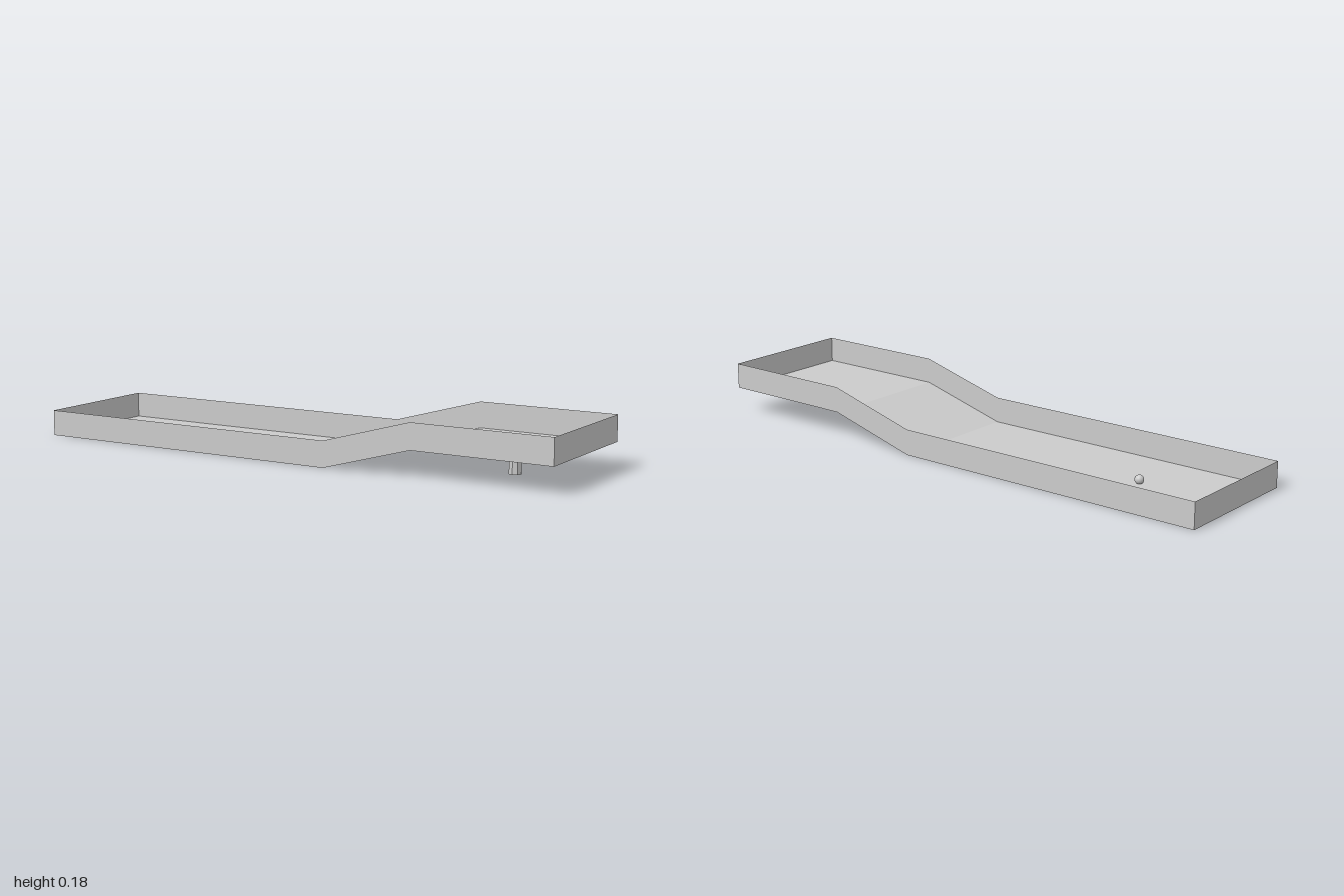
import * as THREE from 'three';

const HALF_WIDTH = 0.25, WALL = 0.092;
// Lane bottom profile (x, y), running from the low end to the raised end
const PROFILE = [[-1, 0], [0.165, 0], [0.495, 0.092], [1, 0.092]];

// Thin sheet joining two matching rows of points, with a flat quad per step
function sheet(name, rowA, rowB, material) {
  const positions = [];
  for (let i = 0; i + 1 < rowA.length; i++) {
    const [a, b, c, d] = [rowA[i], rowB[i], rowB[i + 1], rowA[i + 1]];
    positions.push(...a, ...b, ...c, ...a, ...c, ...d);
  }
  const geometry = new THREE.BufferGeometry();
  geometry.setAttribute('position', new THREE.Float32BufferAttribute(positions, 3));
  geometry.computeVertexNormals();
  const mesh = new THREE.Mesh(geometry, material);
  mesh.name = name;
  return mesh;
}

export function createModel() {
  const group = new THREE.Group();
  group.name = 'golfLane';
  const thin = new THREE.MeshStandardMaterial({ color: 0xcccccc, side: THREE.DoubleSide });
  const faceted = new THREE.MeshStandardMaterial({ color: 0xcccccc, flatShading: true });
  const smooth = new THREE.MeshStandardMaterial({ color: 0xcccccc });

  const row = (z, lift) => PROFILE.map(([x, y]) => [x, y + lift, z]);

  // Floor and side walls follow the stepped profile
  group.add(sheet('floor', row(-HALF_WIDTH, 0), row(HALF_WIDTH, 0), thin));
  group.add(sheet('frontWall', row(HALF_WIDTH, WALL), row(HALF_WIDTH, 0), thin));
  group.add(sheet('backWall', row(-HALF_WIDTH, 0), row(-HALF_WIDTH, WALL), thin));

  // End walls
  for (const [name, [x, y], side] of [['lowEndWall', PROFILE[0], -1], ['highEndWall', PROFILE[3], 1]]) {
    const edge = (h) => [[x, y + h, side * HALF_WIDTH], [x, y + h, -side * HALF_WIDTH]];
    group.add(sheet(name, edge(WALL), edge(0), thin));
  }

  // Hole cup hanging below the raised end
  const cup = new THREE.Mesh(new THREE.CylinderGeometry(0.022, 0.022, WALL, 8), faceted);
  cup.name = 'holeCup';
  cup.position.set(0.75, WALL / 2, 0);
  group.add(cup);

  // Ball resting on the low end
  const ball = new THREE.Mesh(new THREE.SphereGeometry(0.016, 16, 12), smooth);
  ball.name = 'ball';
  ball.position.set(-0.63, 0.016, 0);
  group.add(ball);

  return group;
}
